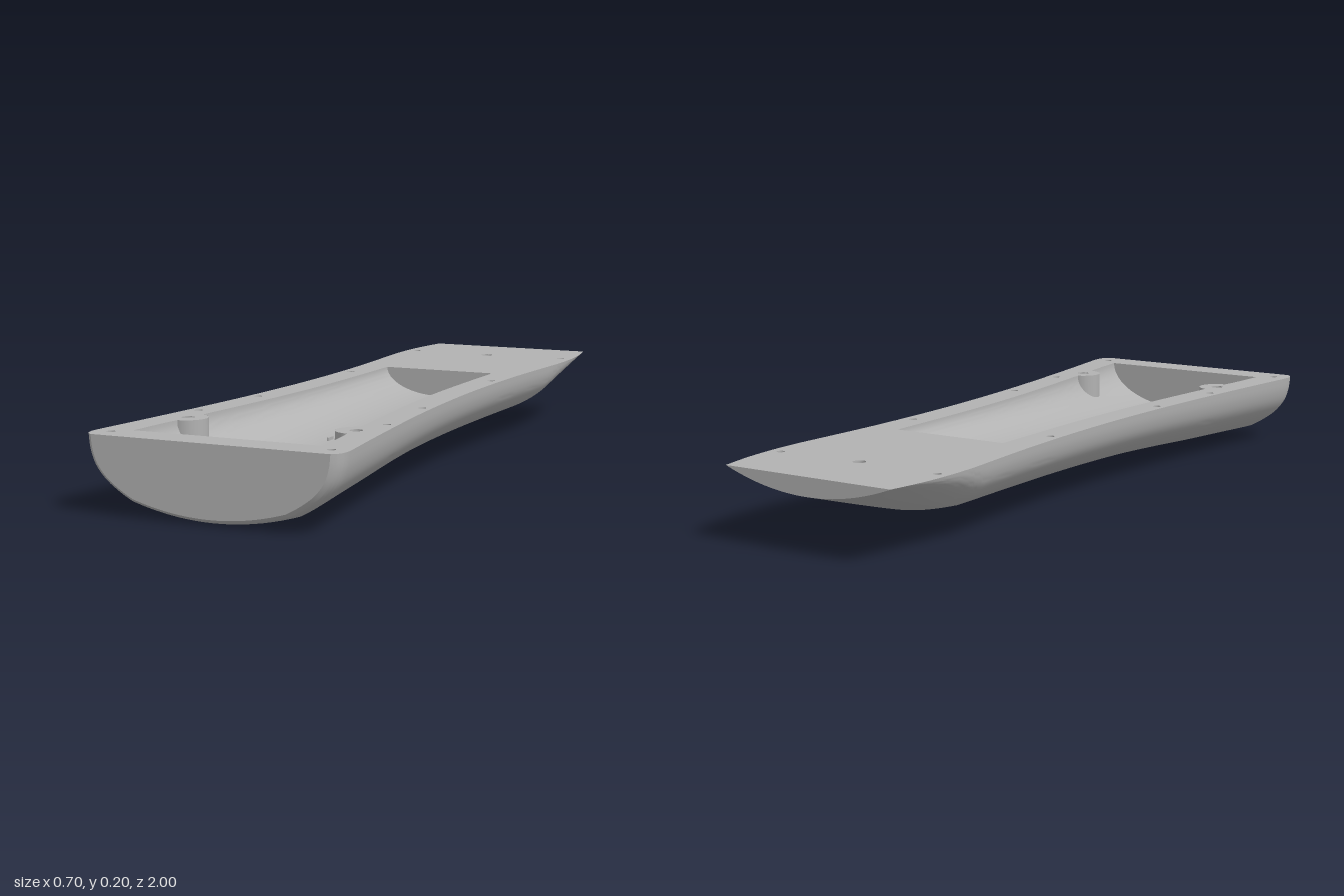
import * as THREE from 'three';
import { toCreasedNormals } from 'three/addons/utils/BufferGeometryUtils.js';

const TOP = 0.2;
// stations along the body: z, half width, underside height
const BODY = [
  [-1, 0.255, 0.15], [-0.9, 0.272, 0.121], [-0.8, 0.28, 0.092], [-0.7, 0.28, 0.064], [-0.66, 0.278, 0.054],
  [-0.62, 0.275, 0.051], [-0.4, 0.261, 0.047], [-0.2, 0.256, 0.045], [0, 0.258, 0.042], [0.2, 0.268, 0.037],
  [0.4, 0.284, 0.027], [0.6, 0.306, 0.015], [0.8, 0.331, 0.006], [0.92, 0.347, 0.001], [0.955, 0.35, 0],
  [0.975, 0.347, 0.002], [0.99, 0.339, 0.007], [1, 0.327, 0.015],
];
// stations along the hollow: z, half width, floor height
const HOLLOW = [
  [-0.4, 0.172, 0.12], [-0.2, 0.172, 0.117], [0, 0.175, 0.112], [0.2, 0.185, 0.105],
  [0.4, 0.203, 0.095], [0.6, 0.225, 0.083], [0.8, 0.25, 0.073], [0.91, 0.26, 0.07],
];
const BOSS = { x: 0.24, z: 0.68, r: 0.053, hole: 0.017 };
const SCREWS = [[0.247, -0.8], [0.227, -0.255], [0.247, 0.29], [0.273, 0.57], [0.303, 0.945]];

// Catmull-Rom refinement of a station table
function refine(table, steps) {
  const out = [];
  const pts = table.map((p) => new THREE.Vector3(...p));
  const curve = new THREE.CatmullRomCurve3(pts, false, 'centripetal');
  const n = (pts.length - 1) * steps;
  for (let i = 0; i <= n; i++) out.push(curve.getPoint(i / n).toArray());
  return out;
}

// half profiles as [u across, v down], both 0..1, from the rim to the keel
const flank = new THREE.SplineCurve([[1, 0], [0.986, 0.2], [0.943, 0.4], [0.857, 0.58], [0.743, 0.725], [0.643, 0.825]]
  .map((p) => new THREE.Vector2(...p))).getPoints(18).map((p) => [p.x, p.y]);
const keel = Array.from({ length: 10 }, (_, i) => {
  const u = 0.643 * (1 - (i + 1) / 10);
  return [u, 1 - 0.175 * (u / 0.643) ** 2];
});
const bodyProfile = [...flank, ...keel];
const hollowProfile = Array.from({ length: 25 }, (_, i) => {
  const a = (i / 24) * Math.PI / 2;
  return [Math.cos(a), Math.sin(a)];
});

// full cross-section, +x rim to -x rim; the raked tail blends to a shallow arc
function section(profile, [z, w, bottom], rake = false) {
  const t = rake ? THREE.MathUtils.clamp((-0.62 - z) / 0.38, 0, 1) : 0;
  const half = profile.map(([u, v]) =>
    [u * w, TOP - (TOP - bottom) * THREE.MathUtils.lerp(v, 1 - u * u, t), z]);
  return [...half, ...half.slice(0, -1).reverse().map(([x, y, zz]) => [-x, y, zz])];
}

function build(points, index) {
  const g = new THREE.BufferGeometry();
  g.setAttribute('position', new THREE.Float32BufferAttribute(points.flat(), 3));
  g.setIndex(index);
  return toCreasedNormals(g, 0.22);
}

function loft(sections, inward) {
  const n = sections[0].length, index = [];
  for (let i = 0; i < sections.length - 1; i++) {
    for (let j = 0; j < n - 1; j++) {
      const a = i * n + j, b = a + n, c = a + 1, d = b + 1;
      if (inward) index.push(a, c, b, b, c, d);
      else index.push(a, b, c, b, d, c);
    }
  }
  return build(sections.flat(), index);
}

function cap(sec, facesFront) {
  const index = [];
  for (let j = 1; j < sec.length; j++) {
    if (facesFront) index.push(0, j + 1, j);
    else index.push(0, j, j + 1);
  }
  return build([[0, TOP, sec[0][2]], ...sec], index);
}

export function createModel() {
  const model = new THREE.Group();
  model.name = 'lowerShell';
  const grey = new THREE.MeshStandardMaterial({ color: 0xb2b2b2, side: THREE.DoubleSide });
  grey.name = 'grey';
  const add = (name, geometry, x = 0, y = 0, z = 0) => {
    const mesh = new THREE.Mesh(geometry, grey);
    mesh.name = name;
    mesh.position.set(x, y, z);
    model.add(mesh);
  };

  // outer body and its flat ends
  const body = refine(BODY, 4);
  const outer = body.map((s) => section(bodyProfile, s, true));
  add('outerBody', loft(outer, false));
  add('frontEnd', cap(outer[outer.length - 1], true));
  add('backEnd', cap(outer[0], false));

  // hollow with its end walls
  const hollow = refine(HOLLOW, 5);
  const inner = hollow.map((s) => section(hollowProfile, s));
  add('hollow', loft(inner, true));
  add('hollowFrontWall', cap(inner[inner.length - 1], false));
  add('hollowBackWall', cap(inner[0], true));

  // rim of the hollow, stepping in around each boss
  const arc = Array.from({ length: 17 }, (_, i) => {
    const a = THREE.MathUtils.degToRad(-75 + i * 165 / 16);
    return [BOSS.z + BOSS.r * Math.sin(a), BOSS.x - BOSS.r * Math.cos(a)];
  });
  const rim = [
    ...hollow.filter((s) => s[0] < BOSS.z - BOSS.r), ...arc,
    ...hollow.filter((s) => s[0] > BOSS.z + BOSS.r),
  ];
  // closed outline from stations, in shape space (x, -z)
  const outline = (st) => [
    ...st.map(([z, w]) => new THREE.Vector2(w, -z)),
    ...[...st].reverse().map(([z, w]) => new THREE.Vector2(-w, -z)),
  ];

  // flat deck pierced by the hollow and the screw holes
  const deck = new THREE.Shape(outline(body));
  deck.holes.push(new THREE.Path(outline(rim)));
  const holes = [[0, -0.79, 0.017, 0.05]];
  for (const s of [1, -1]) {
    for (const [x, z] of SCREWS) holes.push([s * x, z, 0.011, 0.022]);
    holes.push([s * BOSS.x, BOSS.z, BOSS.hole, 0.06]);
  }
  for (const [x, z, r] of holes) {
    deck.holes.push(new THREE.Path().absarc(x, -z, r, 0, Math.PI * 2, true));
  }
  add('deck', new THREE.ShapeGeometry(deck, 10).rotateX(-Math.PI / 2), 0, TOP, 0);

  // blind holes
  for (const [x, z, r, depth] of holes) {
    add('screwHoleWall', new THREE.CylinderGeometry(r, r, depth, 20, 1, true), x, TOP - depth / 2, z);
    add('screwHoleFloor', new THREE.CircleGeometry(r, 20).rotateX(-Math.PI / 2), x, TOP - depth, z);
  }

  for (const s of [1, -1]) {
    // screw boss, only the half that stands out of the wall
    const start = s > 0 ? Math.PI : 0;
    add('screwBoss', new THREE.CylinderGeometry(BOSS.r, BOSS.r, 0.09, 24, 1, true, start, Math.PI),
      s * BOSS.x, TOP - 0.045, BOSS.z);
    // small locating ribs on the floor
    add('floorRib', new THREE.BoxGeometry(0.005, 0.012, 0.03), s * 0.011, 0.102, 0.32);
  }
  return model;
}
